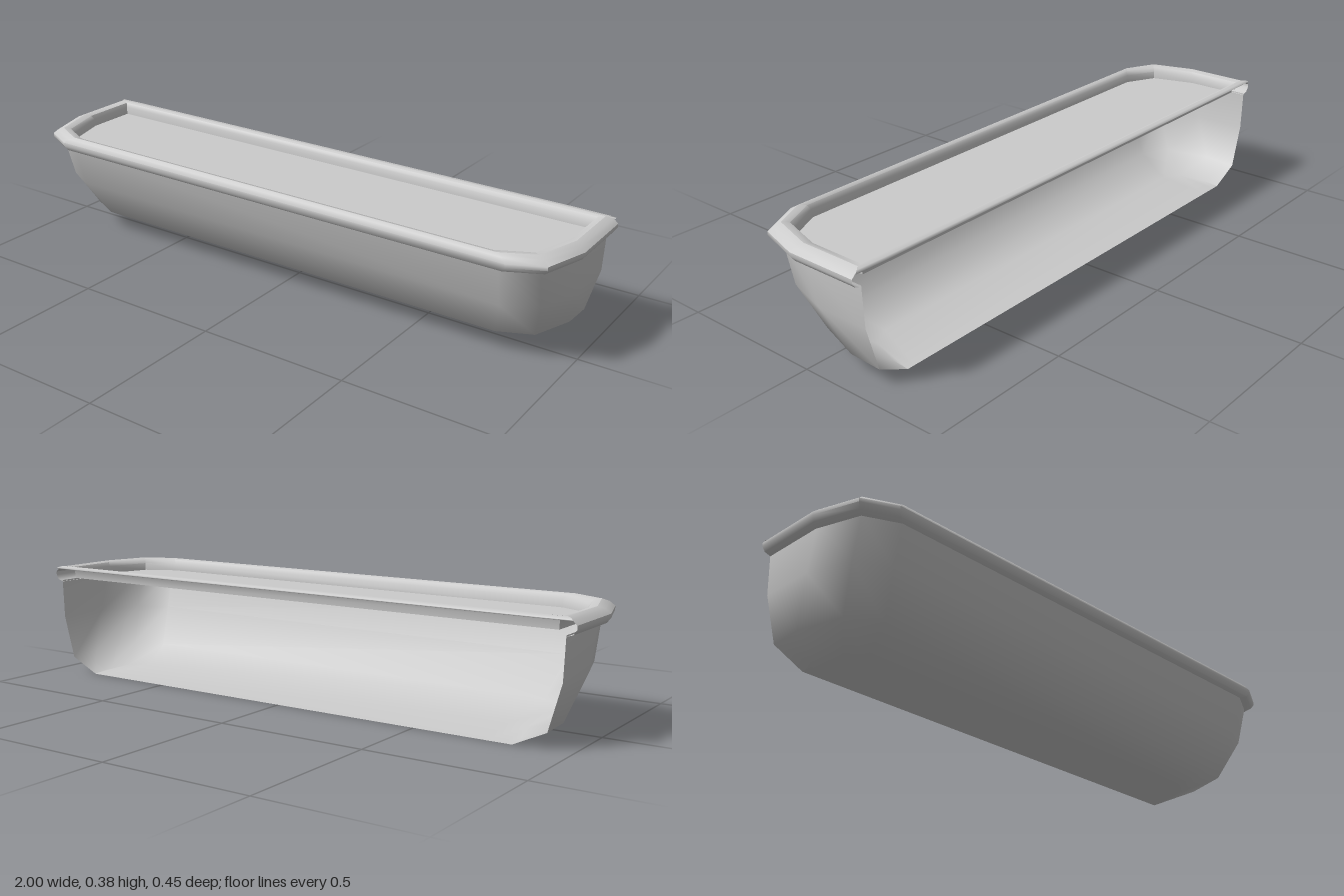
import * as THREE from 'three';
import { toCreasedNormals } from 'three/addons/utils/BufferGeometryUtils.js';

const BACK = -0.217;
const material = new THREE.MeshStandardMaterial({ color: 0xcccccc, side: THREE.DoubleSide });

// Plan outline with clipped front corners, from back left round the front to back right.
function outline(halfWidth, front, y, back = BACK, corner = 1, backY = y) {
  const half = [
    [halfWidth, back],
    [halfWidth, front - 0.2 * corner],
    [halfWidth - 0.045 * corner, front - 0.052 * corner],
    [halfWidth - 0.15 * corner, front],
  ];
  const mirrored = half.map(([x, z]) => [-x, z]).reverse();
  return [...half, ...mirrored].map(([x, z]) => {
    const t = (z - back) / (front - back);
    return new THREE.Vector3(x, backY + (y - backY) * t, z);
  });
}

// Skin between successive rows of points.
function loft(rows) {
  const n = rows[0].length;
  const index = [];
  for (let i = 0; i < rows.length - 1; i++) {
    for (let j = 0; j < n - 1; j++) {
      const a = i * n + j;
      index.push(a, a + 1, a + n, a + 1, a + n + 1, a + n);
    }
  }
  const geometry = new THREE.BufferGeometry().setFromPoints(rows.flat());
  geometry.setIndex(index);
  geometry.computeVertexNormals();
  return geometry;
}

export function createModel() {
  const group = new THREE.Group();
  const add = (name, geometry) => {
    const mesh = new THREE.Mesh(geometry, material);
    mesh.name = name;
    group.add(mesh);
  };

  // Rounded trough wall, open at the back
  const lowest = outline(0.82, -0.035, 0.015, BACK, 0.6, 0);
  const shellRows = [
    outline(0.97, 0.205, 0.328),
    outline(0.965, 0.17, 0.195),
    outline(0.925, 0.095, 0.065, BACK, 1, 0.05),
    lowest,
    lowest.map((p) => new THREE.Vector3(p.x, 0, BACK)),
  ];
  add('troughShell', loft(shellRows));

  // Rolled rim: inner wall and crest close across the back
  const inner = [
    [0.935, 0.185, 0.335, -0.185],
    [0.937, 0.187, 0.36, -0.187],
    [0.945, 0.195, 0.374, -0.195],
    [0.965, 0.21, 0.378, -0.205],
  ].map((p) => outline(...p));
  const closed = inner.map((row) => [...row, row[0].clone()]);
  add('rimInner', toCreasedNormals(loft(closed), 0.8));

  // Outer roll of the rim along the front and sides
  const outer = [
    inner[3],
    outline(0.985, 0.22, 0.371),
    outline(1.0, 0.228, 0.357),
    outline(1.0, 0.228, 0.345),
    outline(0.99, 0.221, 0.33),
    outline(0.968, 0.204, 0.323),
  ];
  add('rimOuter', toCreasedNormals(loft(outer), 0.8));

  // Thin lip overhanging the open back
  const lip = [
    [0.965, 0.378, -0.205],
    [0.98, 0.377, -0.219],
    [0.99, 0.372, -0.227],
    [0.99, 0.369, -0.224],
  ].map(([w, y, z]) => [
    new THREE.Vector3(-w, y, z + 0.003),
    new THREE.Vector3(-w + 0.1, y, z),
    new THREE.Vector3(w - 0.1, y, z),
    new THREE.Vector3(w, y, z + 0.003),
  ]);
  add('backLip', loft(lip));

  // Flat panel recessed inside the rim
  const shape = new THREE.Shape(inner[0].map((p) => new THREE.Vector2(p.x, -p.z)));
  const panel = new THREE.ShapeGeometry(shape);
  panel.rotateX(-Math.PI / 2);
  panel.translate(0, 0.335, 0);
  add('topPanel', panel);

  return group;
}
